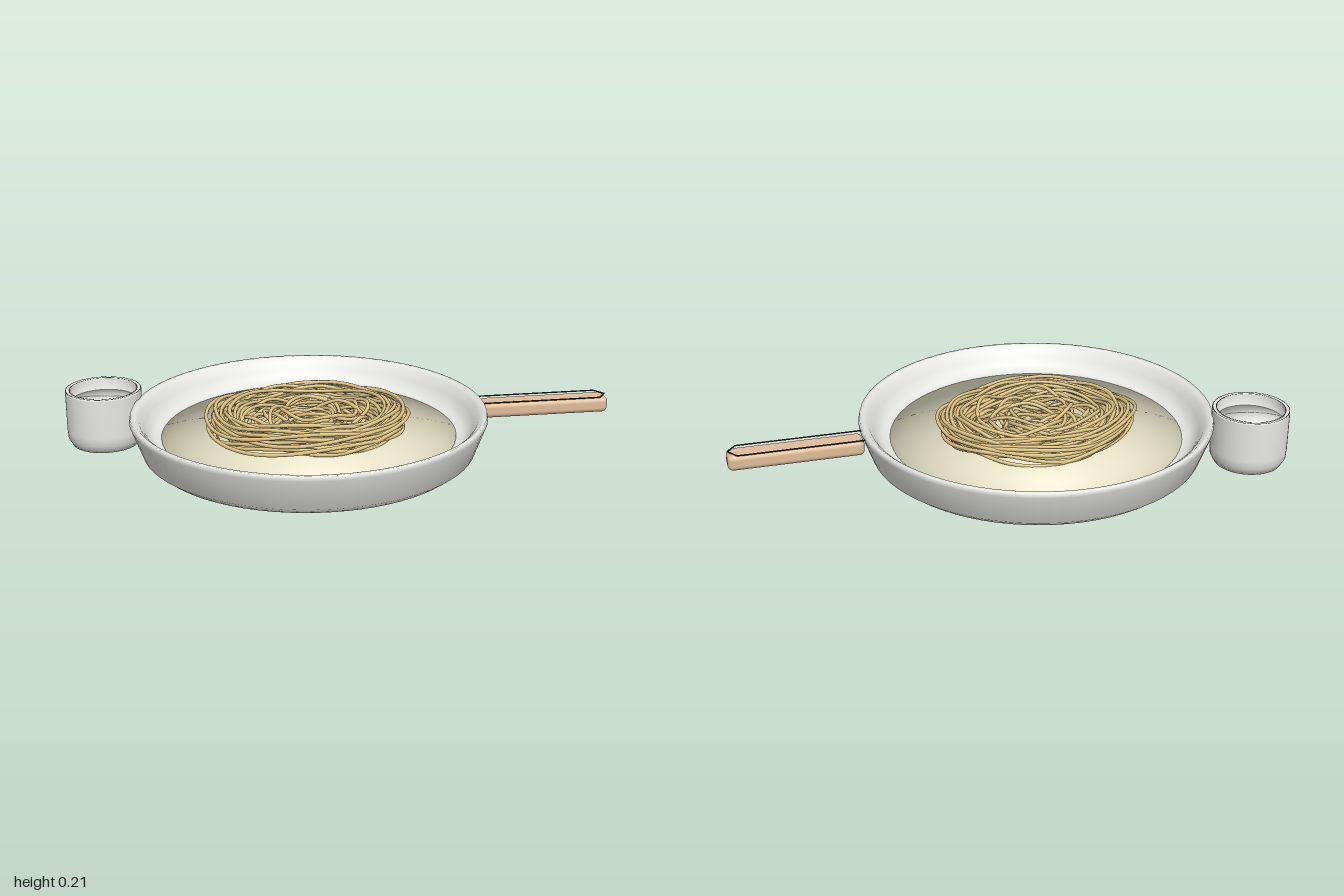
import * as THREE from 'three';
import { RoundedBoxGeometry } from 'three/addons/geometries/RoundedBoxGeometry.js';

const material = (name, color) => {
  const m = new THREE.MeshStandardMaterial({ color });
  m.name = name;
  return m;
};

export function createModel() {
  const white = material('white ceramic', 0xe8e8e4);
  const cream = material('cream broth', 0xe5e2c6);
  const wood = material('light wood', 0xdfbd98);
  const straw = material('noodle straw', 0xdcc284);
  const dark = material('dark trim', 0x262422);

  const model = new THREE.Group();
  model.name = 'noodlePan';
  const add = (name, geometry, mat, parent = model) => {
    const mesh = new THREE.Mesh(geometry, mat);
    mesh.name = name;
    parent.add(mesh);
    return mesh;
  };
  const lathe = (profile, segments) =>
    new THREE.LatheGeometry(profile.map(([r, y]) => new THREE.Vector2(r, y)), segments);

  // Nearly flat liquid surface that keeps the rounded shading of a dome
  const liquid = (radius) => {
    const arc = 1.25;
    const g = new THREE.SphereGeometry(radius / Math.sin(arc), 64, 16, 0, Math.PI * 2, 0, arc);
    const p = g.attributes.position;
    for (let i = 0; i < p.count; i++) p.setY(i, p.getY(i) * 0.01);
    return g;
  };

  // Pan with a softly chamfered foot and a curved inner wall
  const pan = new THREE.Group();
  pan.name = 'pan';
  pan.position.set(-0.125, 0, -0.004);
  model.add(pan);
  add('panBody', lathe([
    [0, 0.02], [0.57, 0.02], [0.604, 0.046], [0.647, 0.163], [0.643, 0.181],
    [0.63, 0.18], [0.612, 0.165], [0.595, 0.137], [0.58, 0.112], [0.56, 0.098], [0.53, 0.088], [0, 0.07],
  ], 72), white, pan);
  add('broth', liquid(0.535), cream, pan).position.y = 0.09;

  // Noodle nest: wide outer loops and an offset inner rosette
  let seed = 7;
  const rand = () => {
    seed = (seed * 16807) % 2147483647;
    return seed / 2147483647;
  };
  const noodles = new THREE.Group();
  noodles.name = 'noodles';
  noodles.position.y = 0.09;
  pan.add(noodles);
  const addLoop = (name, radius, offset, direction, level) => {
    const phase = rand() * 6.28, wobble = 0.004 + rand() * 0.007, lift = 0.008 + rand() * 0.012;
    const lobes = 2 + Math.floor(rand() * 2);
    const points = [];
    for (let i = 0; i < 24; i++) {
      const a = i / 24 * Math.PI * 2;
      const r = radius + wobble * Math.sin(lobes * a + phase);
      points.push(new THREE.Vector3(
        r * Math.cos(a) + offset * Math.cos(direction),
        level + lift * Math.sin((lobes + 1) * a + phase * 2),
        0.82 * (r * Math.sin(a) + offset * Math.sin(direction))));
    }
    const path = new THREE.CatmullRomCurve3(points, true);
    add(name, new THREE.TubeGeometry(path, 72, 0.007, 7, true), straw, noodles);
  };
  for (let i = 0; i < 28; i++) {
    addLoop('outerNoodle', 0.27 + 0.085 * rand(), 0.018 * rand(), rand() * 6.28, 0.02 + 0.075 * i / 27);
  }
  for (let i = 0; i < 22; i++) {
    addLoop('innerNoodle', 0.13 + 0.05 * rand(), 0.06 + 0.03 * rand(), i * 2.4, 0.025 + 0.055 * rand());
  }

  // Wooden handle
  add('handle', new RoundedBoxGeometry(0.48, 0.06, 0.083, 4, 0.02), wood).position.set(0.76, 0.14, -0.026);

  // Fine dark edging around the handle's top, pointed at the tip
  const edge = [[0.52, -0.067], [0.965, -0.067], [0.995, -0.026], [0.965, 0.015], [0.52, 0.015]];
  const edging = new THREE.CurvePath();
  for (let i = 1; i < edge.length; i++) {
    const [a, b] = [edge[i - 1], edge[i]].map(([x, z]) => new THREE.Vector3(x, 0.172, z));
    edging.add(new THREE.LineCurve3(a, b));
  }
  add('handleEdging', new THREE.TubeGeometry(edging, 80, 0.0025, 6, false), dark);

  // Cup with fine dark lines on top of its rim
  const cup = new THREE.Group();
  cup.name = 'cup';
  cup.position.set(-0.86, 0, -0.26);
  model.add(cup);
  add('cupBody', lathe([
    [0, 0.001], [0.122, 0.001], [0.138, 0.03], [0.14, 0.06], [0.14, 0.205], [0.138, 0.21],
    [0.126, 0.21], [0.124, 0.205], [0.122, 0.14], [0, 0.14],
  ], 48), white, cup);
  add('cupDrink', liquid(0.122), white, cup).position.y = 0.165;
  for (const r of [0.123, 0.136]) {
    const line = add('cupRimLine', new THREE.RingGeometry(r, r + 0.003, 64), dark, cup);
    line.rotation.x = -Math.PI / 2;
    line.position.y = 0.211;
  }

  return model;
}
